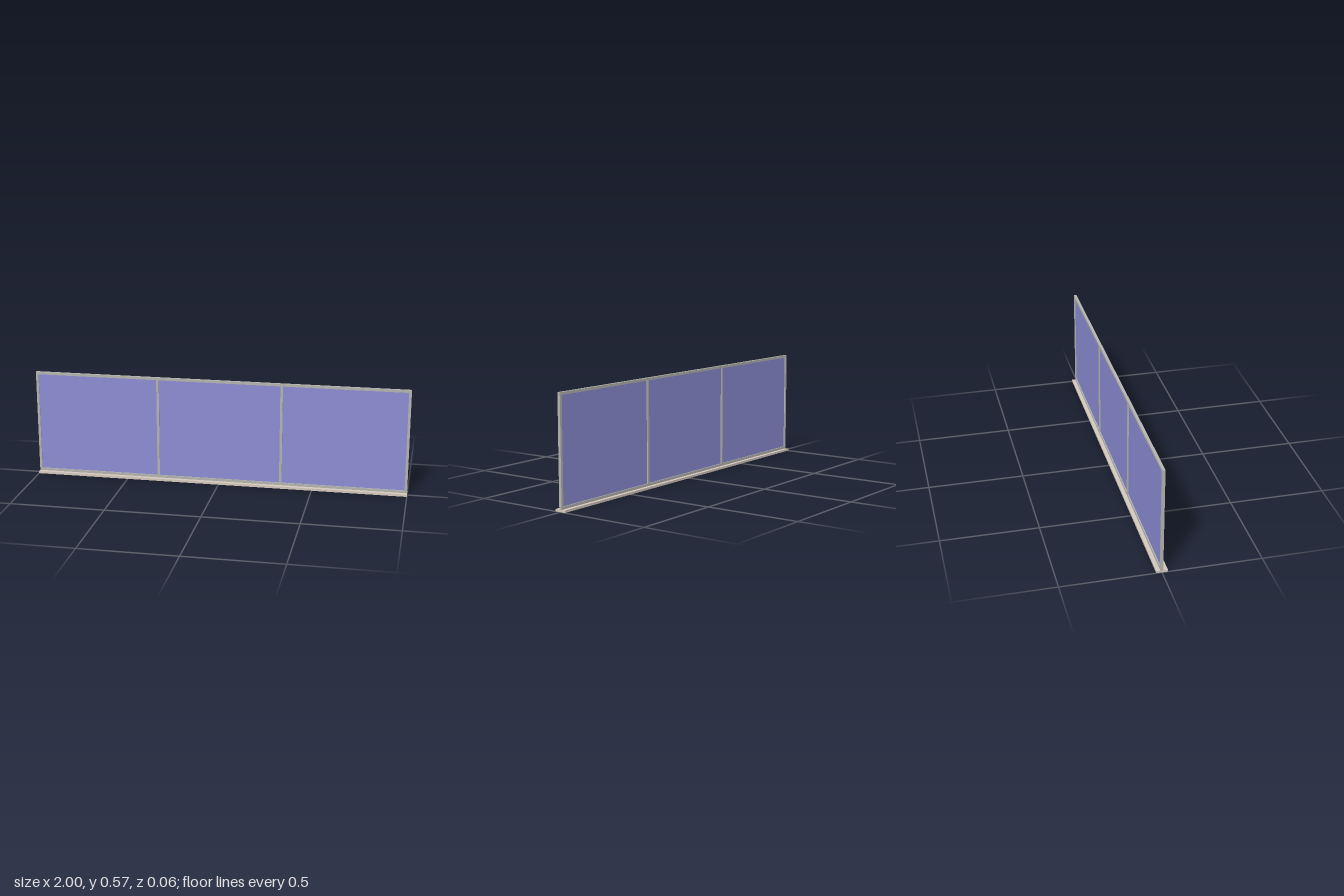
import * as THREE from 'three';

const WIDTH = 2, TOP = 0.57, SILL_H = 0.012, SILL_D = 0.057;
const BAR = 0.0135, DEPTH = 0.0145, FRAME_Z = -0.0015, BAYS = 3;

export function createModel() {
  const model = new THREE.Group();
  model.name = 'windowWall';
  const frameMat = new THREE.MeshStandardMaterial({ color: 0xb4b4b0 });
  const sillMat = new THREE.MeshStandardMaterial({ color: 0xd3c8bc });
  const glassMat = new THREE.MeshStandardMaterial({ color: 0x8c8cd4 });

  const addBox = (name, w, h, d, x, y, z, mat) => {
    const mesh = new THREE.Mesh(new THREE.BoxGeometry(w, h, d), mat);
    mesh.name = name;
    mesh.position.set(x, y, z);
    model.add(mesh);
  };

  // Wide flat sill under the frame
  addBox('sill', WIDTH, SILL_H, SILL_D, 0, SILL_H / 2, 0, sillMat);

  // One frame with an opening for each bay, leaving the mullions between them
  const frame = new THREE.Shape();
  frame.moveTo(-WIDTH / 2, SILL_H).lineTo(WIDTH / 2, SILL_H);
  frame.lineTo(WIDTH / 2, TOP).lineTo(-WIDTH / 2, TOP).closePath();

  const bayW = (WIDTH - BAR * (BAYS + 1)) / BAYS;
  const y0 = SILL_H + BAR, y1 = TOP - BAR;
  for (let i = 0; i < BAYS; i++) {
    const x0 = -WIDTH / 2 + BAR + i * (bayW + BAR), x1 = x0 + bayW;
    const opening = new THREE.Path();
    opening.moveTo(x0, y0).lineTo(x0, y1).lineTo(x1, y1).lineTo(x1, y0).closePath();
    frame.holes.push(opening);

    // Thin pane set midway in the frame depth
    addBox(`glassPane${i + 1}`, bayW, y1 - y0, 0.003, (x0 + x1) / 2, (y0 + y1) / 2, FRAME_Z, glassMat);
  }

  const frameMesh = new THREE.Mesh(
    new THREE.ExtrudeGeometry(frame, { depth: DEPTH, bevelEnabled: false }), frameMat);
  frameMesh.name = 'frame';
  frameMesh.position.z = FRAME_Z - DEPTH / 2;
  model.add(frameMesh);

  return model;
}
